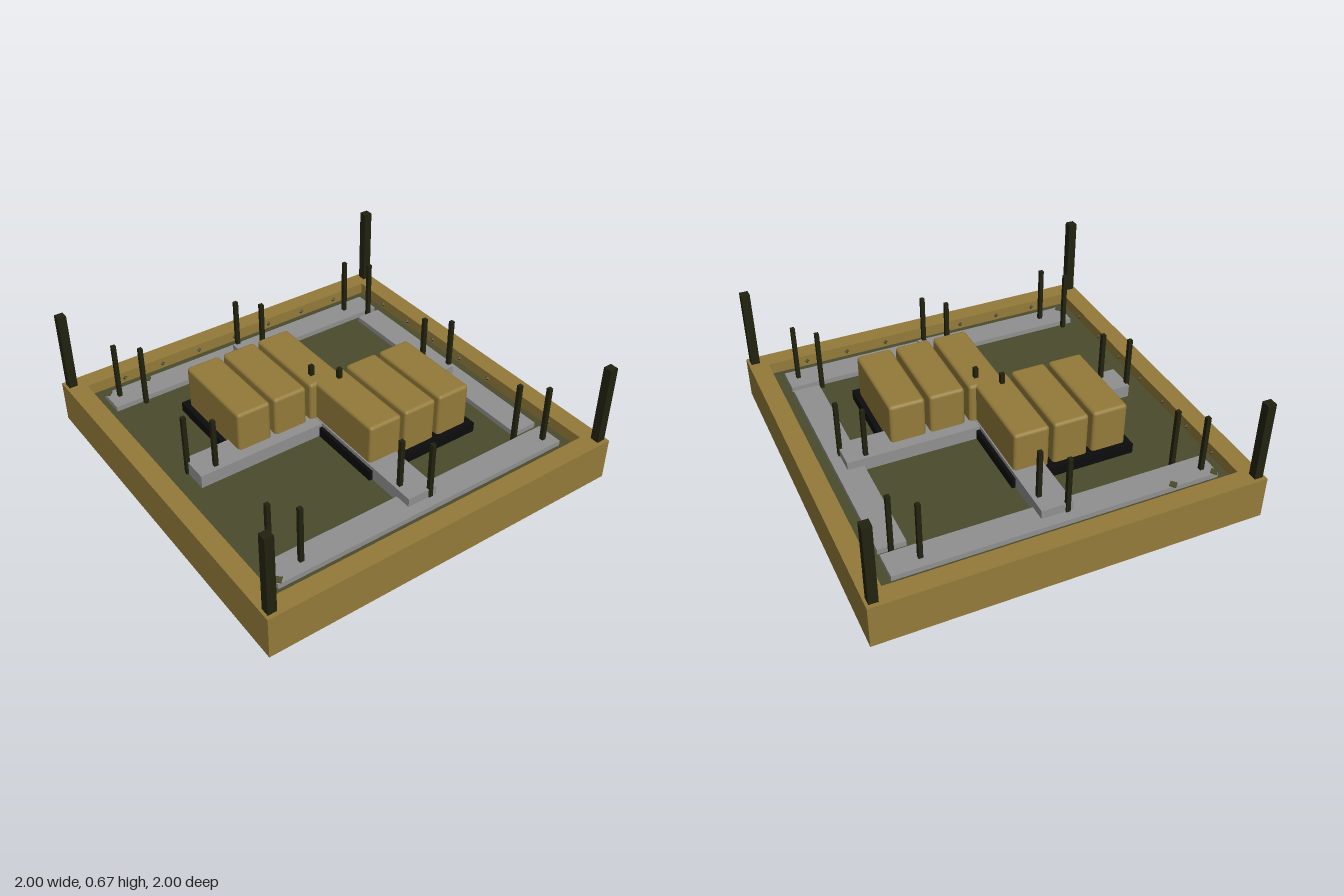
import * as THREE from 'three';
import { RoundedBoxGeometry } from 'three/addons/geometries/RoundedBoxGeometry.js';

const mat = (name, color) => new THREE.MeshStandardMaterial({ name, color });

export function createModel() {
  const model = new THREE.Group();
  const ochre = mat('ochre', 0x947b3a);
  const olive = mat('olive', 0x4b4c2c);
  const grey = mat('grey', 0x909090);
  const darkOlive = mat('darkOlive', 0x22220f);
  const black = mat('black', 0x0c0c0c);

  const add = (name, geo, material, x, y, z) => {
    const mesh = new THREE.Mesh(geo, material);
    mesh.name = name;
    mesh.position.set(x, y, z);
    model.add(mesh);
    return mesh;
  };
  // Box given by its minimum and maximum on each axis
  const slab = (name, material, x0, x1, y0, y1, z0, z1) =>
    add(name, new THREE.BoxGeometry(x1 - x0, y1 - y0, z1 - z0), material,
      (x0 + x1) / 2, (y0 + y1) / 2, (z0 + z1) / 2);
  // Square ring standing up from y0 to y1
  const ring = (name, material, outer, inner, y0, y1) => {
    const square = (Type, r) => new Type([[-r, -r], [r, -r], [r, r], [-r, r]]
      .map(([x, y]) => new THREE.Vector2(x, y)));
    const shape = square(THREE.Shape, outer);
    shape.holes.push(square(THREE.Path, inner));
    const geo = new THREE.ExtrudeGeometry(shape, { depth: y1 - y0, bevelEnabled: false });
    geo.rotateX(-Math.PI / 2);
    add(name, geo, material, 0, y0, 0);
  };

  // Outer frame with a thin seam underneath
  ring('frame', ochre, 1, 0.9, 0.004, 0.235);
  ring('frameSeam', olive, 0.965, 0.935, 0, 0.006);

  // Raised floor, open beneath
  slab('floor', olive, -0.9, 0.9, 0.165, 0.172, -0.9, 0.9);

  // Low boards near the walls
  for (const s of [-1, 1]) {
    slab('edgeBoard', grey, -0.84, 0.835, 0.17, 0.2, s * 0.76 - 0.073, s * 0.76 + 0.073);
  }
  slab('sideBoard', grey, 0.695, 0.835, 0.17, 0.2, -0.655, 0.655);

  // Higher crossing boards
  slab('crossBoard', grey, -0.78, 0.78, 0.17, 0.243, -0.082, 0.082);
  slab('longBoard', grey, -0.082, 0.082, 0.17, 0.246, -0.775, 0.775);

  // Two stepped groups of three blocks on dark pads
  for (const s of [-1, 1]) {
    slab('blockPad', black, s * 0.23 - 0.33, s * 0.23 + 0.33, 0.167, 0.225,
      s * 0.25 - 0.25, s * 0.25 + 0.25);
    for (const x of [0.018, 0.228, 0.438]) {
      add('block', new RoundedBoxGeometry(0.186, 0.255, 0.492, 2, 0.018), ochre,
        s * x, 0.3275, s * 0.222);
    }
  }

  // Corner posts
  for (const x of [-0.963, 0.963]) for (const z of [-0.957, 0.957]) {
    slab('cornerPost', darkOlive, x - 0.023, x + 0.023, 0, 0.665, z - 0.023, z + 0.023);
  }

  // Pairs of thin posts at each board crossing
  for (const x of [-0.73, -0.003, 0.726]) for (const z of [-0.723, -0.003, 0.72]) {
    for (const s of [-1, 1]) {
      const px = x + s * 0.05, pz = z + s * 0.05;
      slab('thinPost', darkOlive, px - 0.011, px + 0.011, 0.17, 0.512, pz - 0.011, pz + 0.011);
    }
  }

  // Studs along the inner walls
  for (let i = -3; i <= 3; i++) {
    for (const s of [-1, 1]) {
      const t = i * 0.229;
      add('wallStud', new THREE.OctahedronGeometry(0.014), olive, t, 0.2, s * 0.9);
      add('wallStud', new THREE.OctahedronGeometry(0.014), olive, s * 0.9, 0.2, t);
    }
  }

  // Diamond plates on the edge boards
  for (const [x, z] of [[-0.825, -0.82], [-0.595, -0.82], [-0.825, 0.81]]) {
    const plate = add('diamondPlate', new THREE.BoxGeometry(0.034, 0.008, 0.034), olive, x, 0.202, z);
    plate.rotation.y = Math.PI / 4;
  }
  return model;
}
